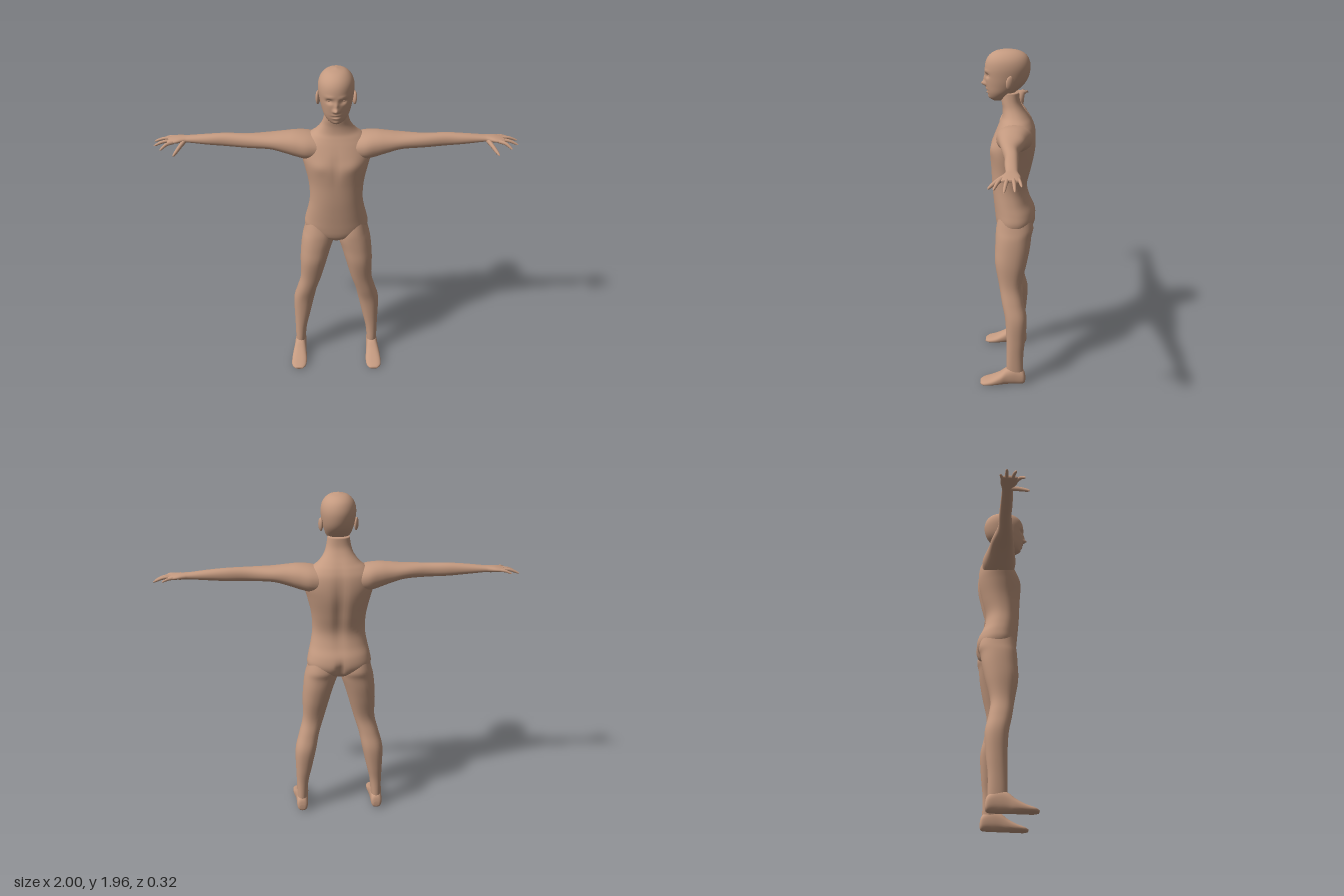
import * as THREE from 'three';

const skin = new THREE.MeshStandardMaterial({ color: 0xc49a80 });
skin.name = 'skin';

// Smooth value through the rows at station i + f, column c
function spline(rows, i, f, c) {
  const at = (k) => rows[Math.min(Math.max(k, 0), rows.length - 1)][c];
  const p0 = at(i - 1), p1 = at(i), p2 = at(i + 1), p3 = at(i + 2);
  const m1 = (p2 - p0) / 2, m2 = (p3 - p1) / 2, f2 = f * f, f3 = f2 * f;
  return (2 * f3 - 3 * f2 + 1) * p1 + (f3 - 2 * f2 + f) * m1 + (3 * f2 - 2 * f3) * p2 + (f3 - f2) * m2;
}

// Closed loft. Each row: [t, aMin, aMax, bMin, bMax]; place(t, a, b) gives the point
function loft(rows, place, { segs = 32, sub = 5, power = 2.2, sculpt } = {}) {
  const pos = [], idx = [], count = (rows.length - 1) * sub;
  const add = (t, a, b) => {
    const p = place(t, a, b);
    if (sculpt) sculpt(p);
    pos.push(p.x, p.y, p.z);
  };
  const round = (v) => Math.sign(v) * Math.pow(Math.abs(v), 2 / power);
  for (let r = 0; r <= count; r++) {
    const i = Math.min(Math.floor(r / sub), rows.length - 2), f = r / sub - i;
    const [t, a0, a1, b0, b1] = [0, 1, 2, 3, 4].map((c) => spline(rows, i, f, c));
    for (let j = 0; j < segs; j++) {
      const q = (j / segs) * Math.PI * 2;
      add(t, (a0 + a1) / 2 + (a1 - a0) / 2 * round(Math.cos(q)), (b0 + b1) / 2 + (b1 - b0) / 2 * round(Math.sin(q)));
    }
  }
  for (let r = 0; r < count; r++) {
    for (let j = 0; j < segs; j++) {
      const k = (j + 1) % segs, a = r * segs, b = a + segs;
      idx.push(a + j, b + j, a + k, a + k, b + j, b + k);
    }
  }
  // End caps
  const end = count * segs, tip = (count + 1) * segs;
  for (const row of [rows[0], rows[rows.length - 1]]) add(row[0], (row[1] + row[2]) / 2, (row[3] + row[4]) / 2);
  for (let j = 0; j < segs; j++) {
    const k = (j + 1) % segs;
    idx.push(tip, j, k, tip + 1, end + k, end + j);
  }
  const g = new THREE.BufferGeometry();
  g.setAttribute('position', new THREE.Float32BufferAttribute(pos, 3));
  g.setIndex(idx);
  g.computeVertexNormals();
  return g;
}

const alongY = (y, x, z) => new THREE.Vector3(x, y, z);
const alongX = (x, z, y) => new THREE.Vector3(x, y, z);
const alongZ = (z, y, x) => new THREE.Vector3(x, y, z);
const symmetric = (rows) => rows.map(([y, w, z0, z1]) => [y, -w, w, z0, z1]);

// Soft bump, mirrored about x = 0
const bump = (p, x, y, sx, sy) => Math.exp(-(((Math.abs(p.x) - x) / sx) ** 2) - ((p.y - y) / sy) ** 2);

// Finger: a tube that narrows to a rounded tip
function finger(points, radius) {
  const curve = new THREE.CatmullRomCurve3(points.map((p) => new THREE.Vector3(...p)));
  const rings = 16, sides = 10;
  const g = new THREE.TubeGeometry(curve, rings, radius, sides);
  const pos = g.attributes.position, v = new THREE.Vector3();
  for (let i = 0; i < pos.count; i++) {
    const t = Math.floor(i / (sides + 1)) / rings, c = curve.getPointAt(t);
    const s = (1 - 0.35 * t) * Math.sqrt(Math.max(0, 1 - t ** 8));
    v.fromBufferAttribute(pos, i).sub(c).multiplyScalar(s).add(c);
    pos.setXYZ(i, v.x, v.y, v.z);
  }
  return g;
}

function mirrored(g) {
  const m = g.clone(), index = m.index.array;
  for (const name of ['position', 'normal']) {
    const attr = m.attributes[name];
    for (let i = 0; i < attr.count; i++) attr.setX(i, -attr.getX(i));
  }
  for (let i = 0; i < index.length; i += 3) [index[i], index[i + 1]] = [index[i + 1], index[i]];
  return m;
}

export function createModel() {
  const model = new THREE.Group();
  model.name = 'humanFigure';
  const part = (name, g) => {
    const mesh = new THREE.Mesh(g, skin);
    mesh.name = name;
    model.add(mesh);
  };
  const pair = (name, g) => {
    part('left' + name, g);
    part('right' + name, mirrored(g));
  };

  // Torso and neck, with chest, spine groove and buttock cleft
  part('torsoAndNeck', loft(symmetric([
    [0.915, 0.04, -0.08, 0.03], [0.94, 0.12, -0.12, 0.055], [0.97, 0.17, -0.148, 0.066],
    [1.01, 0.184, -0.16, 0.072], [1.06, 0.176, -0.152, 0.077], [1.12, 0.162, -0.125, 0.083],
    [1.2, 0.15, -0.11, 0.09], [1.3, 0.156, -0.132, 0.095], [1.4, 0.178, -0.153, 0.1],
    [1.47, 0.195, -0.157, 0.083], [1.53, 0.185, -0.15, 0.06], [1.57, 0.15, -0.133, 0.043],
    [1.6, 0.112, -0.113, 0.032], [1.64, 0.082, -0.085, 0.03], [1.68, 0.068, -0.066, 0.036],
    [1.73, 0.06, -0.06, 0.04],
  ]), alongY, {
    segs: 64, sculpt: (p) => {
      if (p.z < -0.03) p.z += 0.03 * bump(p, 0, 0.975, 0.018, 0.05) + 0.014 * bump(p, 0, 1.35, 0.03, 0.2);
      else if (p.z > 0.03) p.z += 0.008 * bump(p, 0.09, 1.43, 0.05, 0.04) - 0.006 * bump(p, 0, 1.42, 0.02, 0.08);
    },
  }));

  // Head, with brow, eye sockets, nose, lips and chin
  part('head', loft(symmetric([
    [1.683, 0.02, 0.035, 0.08], [1.7, 0.045, 0, 0.1], [1.73, 0.066, -0.04, 0.112],
    [1.77, 0.08, -0.085, 0.12], [1.81, 0.089, -0.11, 0.124], [1.86, 0.095, -0.121, 0.126],
    [1.9, 0.09, -0.115, 0.118], [1.93, 0.073, -0.096, 0.097], [1.95, 0.046, -0.06, 0.062],
    [1.96, 0.004, -0.006, 0.006],
  ]), alongY, {
    segs: 96, sub: 7, power: 2.05, sculpt: (p) => {
      if (p.z < 0.03) return;
      p.z += 0.025 * bump(p, 0, 1.775, 0.012, 0.012) + 0.011 * bump(p, 0, 1.8, 0.01, 0.02)
        + 0.007 * bump(p, 0.013, 1.771, 0.007, 0.007) - 0.014 * bump(p, 0.036, 1.822, 0.017, 0.011)
        + 0.004 * bump(p, 0.035, 1.845, 0.022, 0.008) + 0.008 * bump(p, 0, 1.747, 0.02, 0.006)
        + 0.008 * bump(p, 0, 1.728, 0.018, 0.006) - 0.005 * bump(p, 0, 1.737, 0.026, 0.003)
        + 0.007 * bump(p, 0, 1.7, 0.02, 0.012);
    },
  }));
  pair('Eye', new THREE.SphereGeometry(0.013, 20, 14).scale(1.1, 0.75, 1).translate(0.036, 1.822, 0.092));
  pair('Ear', new THREE.SphereGeometry(1, 20, 16).scale(0.011, 0.037, 0.021)
    .rotateY(0.35).rotateX(-0.15).translate(0.096, 1.795, -0.012));

  // Arm from the shoulder to the palm: [x, zBack, zFront, yBottom, yTop]
  pair('Arm', loft([
    [0.1, -0.135, 0.05, 1.43, 1.57], [0.16, -0.138, 0.058, 1.435, 1.583], [0.22, -0.124, 0.05, 1.45, 1.588],
    [0.28, -0.11, 0.04, 1.47, 1.584], [0.36, -0.097, 0.028, 1.492, 1.577], [0.48, -0.072, 0.01, 1.497, 1.574],
    [0.6, -0.075, -0.007, 1.502, 1.574], [0.7, -0.076, -0.011, 1.51, 1.567], [0.8, -0.077, -0.02, 1.52, 1.557],
    [0.83, -0.081, -0.018, 1.522, 1.555], [0.865, -0.09, -0.004, 1.523, 1.552], [0.9, -0.09, 0, 1.523, 1.546],
    [0.918, -0.084, -0.007, 1.527, 1.541],
  ], alongX));
  pair('Thumb', finger([[0.825, 1.535, -0.035], [0.85, 1.515, 0.01], [0.867, 1.498, 0.037], [0.882, 1.483, 0.058]], 0.013));
  pair('IndexFinger', finger([[0.885, 1.535, -0.011], [0.92, 1.53, 0.008], [0.955, 1.505, 0.028]], 0.0105));
  pair('MiddleFinger', finger([[0.885, 1.536, -0.034], [0.945, 1.53, -0.027], [0.997, 1.508, -0.021]], 0.0105));
  pair('RingFinger', finger([[0.885, 1.536, -0.058], [0.945, 1.533, -0.064], [1, 1.513, -0.069]], 0.0105));
  pair('LittleFinger', finger([[0.88, 1.536, -0.079], [0.915, 1.533, -0.088], [0.95, 1.52, -0.097]], 0.009));

  // Leg from the hip to the ankle: [y, xInner, xOuter, zBack, zFront]
  pair('Leg', loft([
    [0.02, 0.205, 0.26, -0.1, -0.01], [0.1, 0.2, 0.262, -0.1, 0], [0.2, 0.19, 0.263, -0.1, 0],
    [0.3, 0.168, 0.265, -0.11, 0.002], [0.43, 0.14, 0.265, -0.117, 0.01], [0.53, 0.12, 0.24, -0.097, 0.03],
    [0.63, 0.09, 0.216, -0.085, 0.047], [0.76, 0.055, 0.215, -0.113, 0.07], [0.85, 0.03, 0.209, -0.13, 0.07],
    [0.92, 0.008, 0.2, -0.138, 0.068], [0.97, 0.006, 0.187, -0.148, 0.064], [1.04, 0.02, 0.17, -0.13, 0.05],
  ].map((r) => r), alongY));

  // Foot from heel to toes: [z, yBottom, yTop, xInner, xOuter]
  pair('Foot', loft([
    [-0.113, 0.02, 0.05, 0.215, 0.25], [-0.1, 0.004, 0.09, 0.2, 0.264], [-0.05, 0, 0.115, 0.197, 0.268],
    [0, 0, 0.105, 0.196, 0.272], [0.04, 0, 0.074, 0.193, 0.28], [0.09, 0, 0.046, 0.19, 0.286],
    [0.135, 0, 0.03, 0.196, 0.283], [0.158, 0.004, 0.018, 0.215, 0.262],
  ], alongZ, { power: 2.4 }));

  return model;
}
